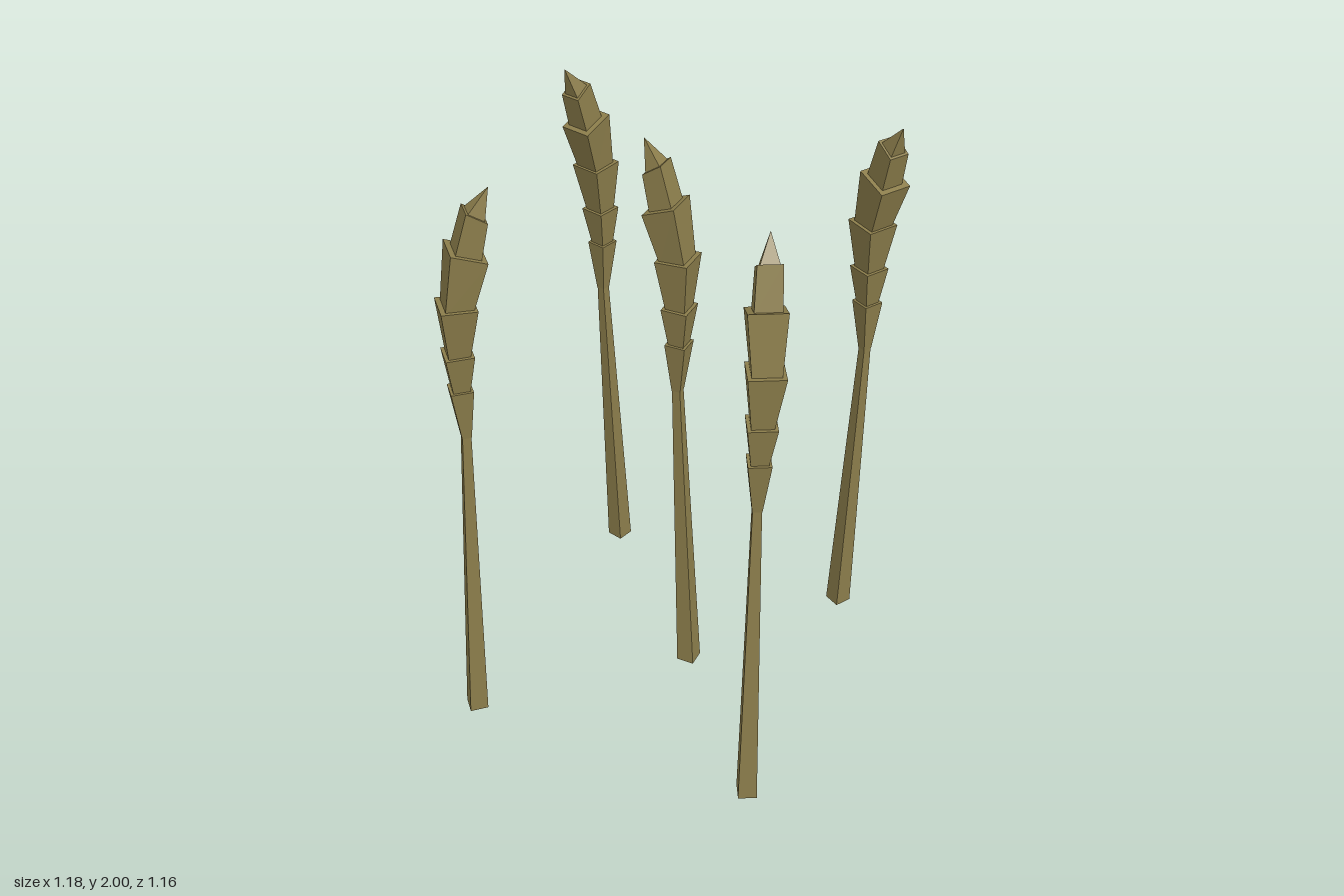
import * as THREE from 'three';

// Cross-section: centre (x, y, z), half width, and tilt toward the lean (+x)
const sec = (x, y, z, half, tilt = 0) => ({ x, y, z, half, tilt });

// Four-sided tapered block between two tilted square sections
function taper(a, b) {
  const geo = new THREE.BoxGeometry(2, 2, 2);
  const p = geo.attributes.position;
  for (let i = 0; i < p.count; i++) {
    const s = p.getY(i) < 0 ? a : b;
    const cx = p.getX(i) * s.half, cz = p.getZ(i) * s.half;
    p.setXYZ(i, s.x + cx * Math.cos(s.tilt), s.y - cx * Math.sin(s.tilt), s.z + cz);
  }
  geo.computeVertexNormals();
  return geo;
}

// [name, lower section, upper section]
const PARTS = [
  ['stem', sec(0, 0, 0, 0.031), sec(0.046, 1.15, 0.006, 0.014)],
  ['grainHusk1', sec(0.046, 1.15, 0.006, 0.015), sec(0.042, 1.33, 0.007, 0.035)],
  ['grainHusk2', sec(0.042, 1.32, 0.007, 0.025), sec(0.043, 1.46, 0.011, 0.044)],
  ['grainHusk3', sec(0.043, 1.45, 0.011, 0.032), sec(0.051, 1.63, 0.018, 0.055, 0.06)],
  ['grainHusk4', sec(0.052, 1.62, 0.018, 0.042, 0.06), sec(0.092, 1.8, 0.018, 0.057, 0.36)],
  ['grainHusk5', sec(0.09, 1.79, 0.02, 0.04, 0.36), sec(0.125, 1.92, 0.025, 0.036, 0.58)],
  ['grainTip', sec(0.122, 1.913, 0.025, 0.03, 0.58), sec(0.168, 2, 0.031, 0.0005, 0.58)],
];

// Base x, base z, lean direction in degrees (from +x toward +z)
const STALKS = [
  ['centreStalk', 0.047, 0.008, 183],
  ['backRightStalk', -0.472, -0.545, 108],
  ['backLeftStalk', 0.45, -0.5, 33],
  ['frontRightStalk', -0.547, 0.51, -40],
  ['frontLeftStalk', 0.465, 0.53, -115.5],
];

export function createModel() {
  const model = new THREE.Group();
  model.name = 'wheatStalks';
  const straw = new THREE.MeshStandardMaterial({ color: 0x8b7d4b, flatShading: true });
  straw.name = 'straw';
  const parts = PARTS.map(([name, a, b]) => [name, taper(a, b)]);

  for (const [name, x, z, deg] of STALKS) {
    const stalk = new THREE.Group();
    stalk.name = name;
    for (const [partName, geo] of parts) {
      const mesh = new THREE.Mesh(geo, straw);
      mesh.name = partName;
      stalk.add(mesh);
    }
    stalk.position.set(x, 0, z);
    stalk.rotation.y = -THREE.MathUtils.degToRad(deg);
    model.add(stalk);
  }
  return model;
}
